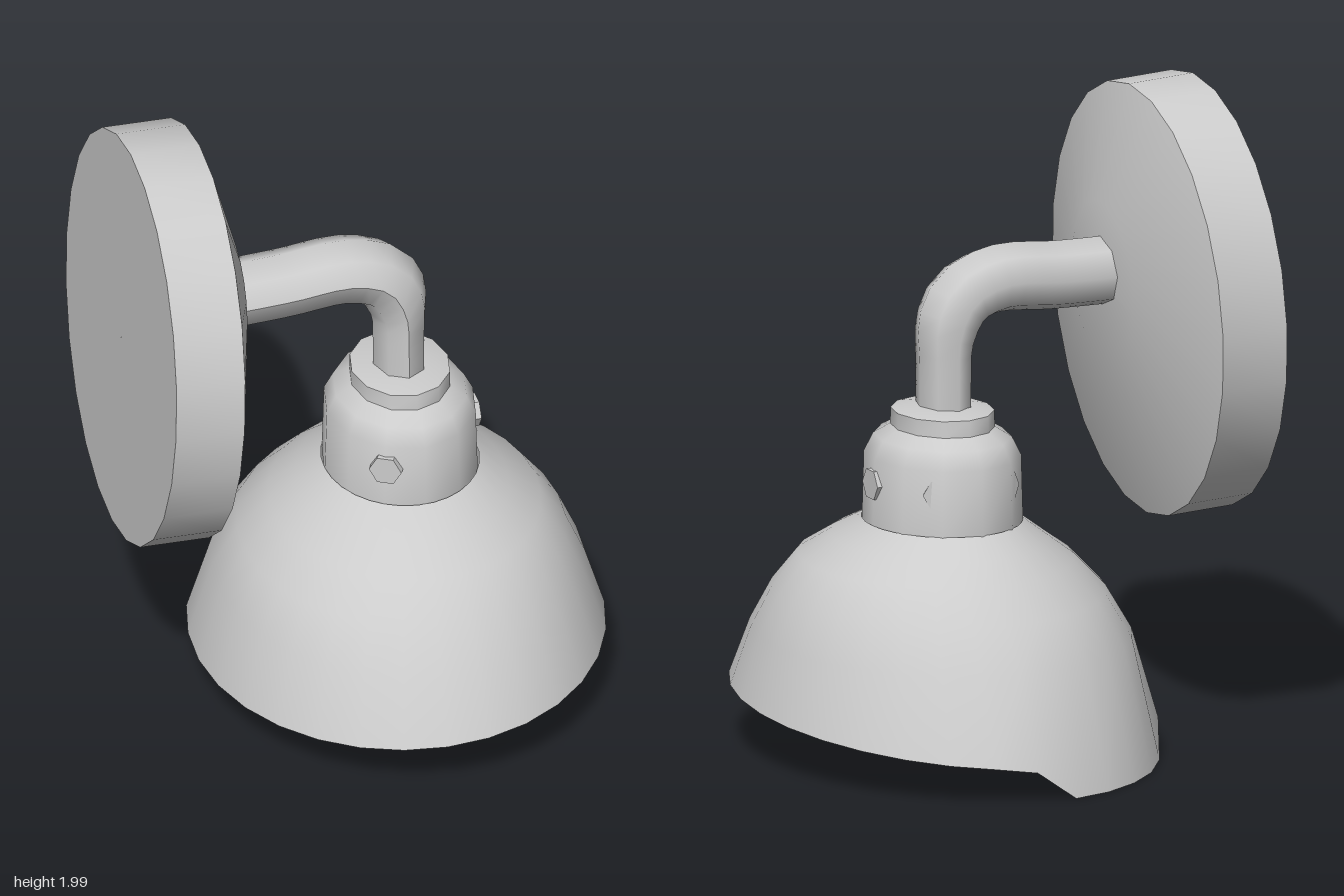
import * as THREE from 'three';
import { toCreasedNormals } from 'three/addons/utils/BufferGeometryUtils.js';

const material = new THREE.MeshStandardMaterial({ color: 0xcccccc, side: THREE.DoubleSide });

// Skin over elliptical rings [y, radiusX, radiusZ, centreX, centreZ], listed bottom to top.
function loft(rings, sides, crease, adjustY = (y) => y) {
  const positions = [], index = [];
  rings.forEach(([y, rx, rz, cx = 0, cz = 0], i) => {
    for (let j = 0; j < sides; j++) {
      const a = (j / sides) * Math.PI * 2;
      positions.push(cx + rx * Math.cos(a), adjustY(y, a, i), cz + rz * Math.sin(a));
      if (i === rings.length - 1) continue;
      const k = (j + 1) % sides, p = i * sides, q = p + sides;
      index.push(p + j, q + j, p + k, q + j, q + k, p + k);
    }
  });
  const geometry = new THREE.BufferGeometry();
  geometry.setAttribute('position', new THREE.Float32BufferAttribute(positions, 3));
  geometry.setIndex(index);
  return toCreasedNormals(geometry, crease);
}

function part(name, geometry) {
  const mesh = new THREE.Mesh(geometry, material);
  mesh.name = name;
  return mesh;
}

// Oval wall plate, slightly tilted, with a sloping face
function makeWallPlate() {
  const plate = part('wallPlate', loft([
    [0, 0.001, 0.001],
    [0, 0.665, 0.56],
    [0.215, 0.665, 0.56],
    [0.33, 0.25, 0.2, -0.07],
    [0.335, 0.001, 0.001, -0.07],
  ], 24, 0.7));
  plate.rotation.z = -Math.PI / 2 - 0.045;
  plate.position.set(-0.72, 1.33, -0.03);
  return plate;
}

// Bent arm, narrower where it drops into the socket
function makeArm() {
  const path = new THREE.CatmullRomCurve3([
    [-0.44, 1.42], [-0.22, 1.425], [-0.02, 1.435], [0.09, 1.39], [0.142, 1.28], [0.148, 1.16], [0.148, 1.02],
  ].map(([x, y]) => new THREE.Vector3(x, y, -0.03)));
  const geometry = new THREE.TubeGeometry(path, 18, 0.105, 8);
  const p = geometry.attributes.position;
  for (let i = 0; i < p.count; i++) {
    const squeeze = 1 - 0.25 * THREE.MathUtils.smoothstep(1.4 - p.getY(i), 0, 0.2)
      * THREE.MathUtils.smoothstep(p.getX(i), -0.02, 0.06);
    p.setX(i, 0.148 + (p.getX(i) - 0.148) * squeeze);
  }
  geometry.computeVertexNormals();
  return part('arm', geometry);
}

// Socket cup with its collar
function makeSocket() {
  const socket = part('socket', loft([
    [0.7, 0.001, 0.001],
    [0.7, 0.235, 0.265],
    [0.92, 0.228, 0.262],
    [0.975, 0.2, 0.235],
    [1.005, 0.15, 0.18],
    [1.055, 0.15, 0.175],
    [1.07, 0.08, 0.1],
    [1.07, 0.001, 0.001],
  ], 12, 0.8));
  socket.position.set(0.15, 0, -0.028);
  return socket;
}

// Hexagonal screws around the socket
function makeScrews() {
  const screws = new THREE.Group();
  screws.name = 'socketScrews';
  for (const degrees of [0, 120, 240, 300]) {
    const a = THREE.MathUtils.degToRad(degrees);
    const screw = part('screw', new THREE.CylinderGeometry(0.05, 0.05, 0.05, 6).toNonIndexed());
    screw.geometry.computeVertexNormals();
    const normal = new THREE.Vector3(Math.cos(a), 0, Math.sin(a));
    screw.quaternion.setFromUnitVectors(new THREE.Vector3(0, 1, 0), normal);
    screw.position.set(0.15 + 0.212 * normal.x, 0.845, -0.015 + 0.235 * normal.z);
    screws.add(screw);
  }
  return screws;
}

// Open oval shade: tilted rim with a lip hanging lower at the back
function makeShade() {
  const rimY = (y, a, ring) => {
    if (ring > 0) return y;
    const d = THREE.MathUtils.radToDeg(a);
    const lip = THREE.MathUtils.smoothstep(d, 203, 218) * (1 - THREE.MathUtils.smoothstep(d, 263, 279));
    const base = 0.145 + 0.045 * Math.sin(a) + 0.03 * Math.cos(a);
    return THREE.MathUtils.lerp(base, 0, lip);
  };
  return part('shade', loft([
    [0.145, 0.617, 0.745, 0.13, 0],
    [0.37, 0.555, 0.64, 0.135, 0.012],
    [0.5, 0.49, 0.545, 0.143, 0.01],
    [0.6, 0.405, 0.452, 0.153, 0.01],
    [0.66, 0.315, 0.37, 0.147, 0],
    [0.72, 0.235, 0.265, 0.15, -0.025],
  ], 30, 1.0, rimY));
}

export function createModel() {
  const lamp = new THREE.Group();
  lamp.name = 'wallLamp';
  lamp.add(makeWallPlate(), makeArm(), makeSocket(), makeScrews(), makeShade());
  return lamp;
}
